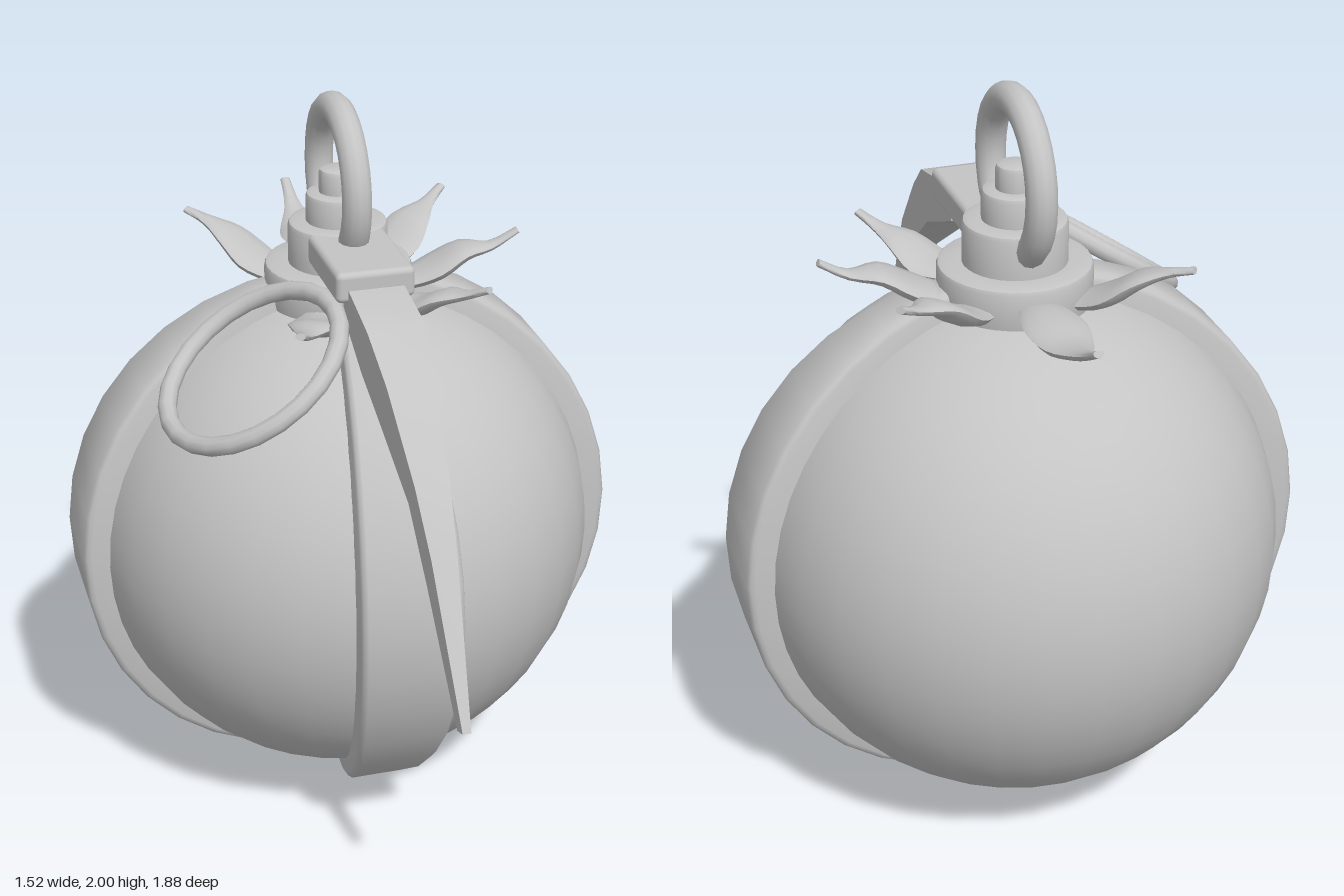
import * as THREE from 'three';
import { toCreasedNormals } from 'three/addons/utils/BufferGeometryUtils.js';
import { RoundedBoxGeometry } from 'three/addons/geometries/RoundedBoxGeometry.js';

const V = (x, y, z) => new THREE.Vector3(x, y, z);
const grey = new THREE.MeshStandardMaterial({ color: 0xc4c4c4 });
grey.name = 'plain grey';

// Closed solid through a row of convex cross-sections with equal point counts
function loft(rings, crease) {
  const n = rings[0].length, last = rings.length - 1;
  const tris = [];
  for (let i = 0; i < last; i++) {
    for (let j = 0; j < n; j++) {
      const k = (j + 1) % n;
      const a = rings[i][j], b = rings[i][k], c = rings[i + 1][k], d = rings[i + 1][j];
      tris.push([a, b, c], [a, c, d]);
    }
  }
  for (let j = 1; j < n - 1; j++) {
    tris.push([rings[0][0], rings[0][j + 1], rings[0][j]]);
    tris.push([rings[last][0], rings[last][j], rings[last][j + 1]]);
  }
  // Make the faces point outwards, whichever way the sections run
  let volume = 0;
  for (const [a, b, c] of tris) volume += a.dot(b.clone().cross(c));
  const pos = [];
  for (const [a, b, c] of tris) {
    for (const p of volume < 0 ? [a, c, b] : [a, b, c]) pos.push(p.x, p.y, p.z);
  }
  const geo = new THREE.BufferGeometry();
  geo.setAttribute('position', new THREE.Float32BufferAttribute(pos, 3));
  return toCreasedNormals(geo, crease);
}

export function createModel() {
  const model = new THREE.Group();
  const CZ = -0.235, CY = 0.762;
  const add = (name, geo, x = 0, y = 0, z = 0) => {
    const mesh = new THREE.Mesh(geo, grey);
    mesh.name = name;
    mesh.position.set(x, y, z);
    model.add(mesh);
    return mesh;
  };

  // Round fruit body
  add('body', new THREE.SphereGeometry(0.703, 32, 24), 0, CY - 0.004, CZ);

  // Raised bands from the collar to just past the bottom pole
  const bandRings = [];
  for (let i = 0; i <= 18; i++) {
    const t = 0.15 + (Math.PI - 0.02) * i / 18;
    const w = 0.03 + 0.11 * Math.abs(Math.sin(t));
    const section = [[-w, 0.64], [-w, 0.738], [-w + 0.004, 0.75], [-w + 0.015, 0.758],
      [w - 0.015, 0.758], [w - 0.004, 0.75], [w, 0.738], [w, 0.64]];
    bandRings.push(section.map(([s, r]) => V(s, r * Math.cos(t), r * Math.sin(t))));
  }
  const bandGeo = loft(bandRings, 0.75);
  [['frontBand', 0], ['leftBand', Math.PI / 2], ['rightBand', -Math.PI / 2]].forEach(([name, turn]) => {
    add(name, bandGeo, 0, CY, CZ).rotation.y = turn;
  });

  // Stepped cap: collar, two drums and a button
  const profile = [[0, 1.4], [0.19, 1.4]];
  [[0.2, 1.54], [0.135, 1.655], [0.086, 1.735], [0.05, 1.8]].forEach(([r, top], i) => {
    profile.push([r, i ? profile.at(-1)[1] : 1.45], [r, top - 0.014], [r - 0.004, top - 0.004], [r - 0.014, top]);
  });
  profile.push([0, 1.8]);
  const capGeo = new THREE.LatheGeometry(profile.map(([r, y]) => new THREE.Vector2(r, y)), 32);
  add('cap', toCreasedNormals(capGeo, 0.7), 0, 0, CZ);

  // Upright ring through the cap
  add('topRing', new THREE.TorusGeometry(0.196, 0.04, 12, 28), 0, 1.764, CZ).rotation.y = Math.PI / 2;

  // Tilted pull ring on the right
  const pull = add('pullRing', new THREE.TorusGeometry(0.258, 0.025, 10, 24), -0.32, 1.408, 0.105);
  pull.quaternion.setFromUnitVectors(V(0, 0, 1), V(-0.54, 0.82, 0.15).normalize());

  // Lever block and tapering blade
  add('leverBlock', new RoundedBoxGeometry(0.21, 0.082, 0.3, 3, 0.016), 0, 1.611, -0.005);
  // Blade sections: upper z, upper y, lower z, lower y, half width
  const blade = [
    [0.08, 1.612, 0.08, 1.52, 0.07], [0.15, 1.605, 0.15, 1.49, 0.074], [0.33, 1.57, 0.28, 1.435, 0.077],
    [0.455, 1.475, 0.41, 1.345, 0.063], [0.64, 1.29, 0.59, 1.22, 0.045],
    [0.745, 1.14, 0.715, 1.05, 0.033], [0.945, 0.768, 0.903, 0.752, 0.011],
  ];
  add('leverBlade', loft(blade.map(([z1, y1, z2, y2, w]) =>
    [V(-w, y1, z1), V(w, y1, z1), V(w, y2, z2), V(-w, y2, z2)]), 0.6));

  // Curling leaves: tip x, tip z and heights from root to tip
  const leaves = [
    [0, -0.83, [1.47, 1.49, 1.49, 1.485, 1.51, 1.56]],
    [0.39, -0.55, [1.46, 1.47, 1.5, 1.55, 1.57, 1.6]],
    [-0.35, -0.56, [1.46, 1.47, 1.5, 1.55, 1.58, 1.6]],
    [0.5, -0.2, [1.46, 1.47, 1.5, 1.54, 1.545, 1.585]],
    [0.31, 0.13, [1.46, 1.46, 1.47, 1.51, 1.53, 1.56]],
    [-0.22, 0.22, [1.46, 1.45, 1.46, 1.49, 1.5, 1.53]],
  ];
  const widths = [0.045, 0.062, 0.08, 0.062, 0.026, 0.014];
  leaves.forEach(([tx, tz, heights], i) => {
    const out = V(tx, 0, tz - CZ), length = out.length();
    out.normalize();
    const side = V(out.z, 0, -out.x);
    const spine = new THREE.CatmullRomCurve3(heights.map((y, k) => {
      const r = 0.12 + (length - 0.12) * k / 5;
      return V(out.x * r, y, CZ + out.z * r);
    }));
    const widthCurve = new THREE.SplineCurve(widths.map((w, k) => new THREE.Vector2(k, w)));
    const rings = [];
    for (let k = 0; k <= 15; k++) {
      const t = k / 15, p = spine.getPoint(t), w = widthCurve.getPoint(t).y;
      const up = V().crossVectors(spine.getTangent(t), side).normalize();
      if (up.y < 0) up.negate();
      const ring = [];
      for (let j = 0; j < 10; j++) {
        const a = j / 10 * Math.PI * 2, s = Math.sin(a);
        ring.push(p.clone().addScaledVector(side, Math.cos(a) * w)
          .addScaledVector(up, s * (s > 0 ? 0.15 * w + 0.006 : 0.3 * w + 0.006)));
      }
      rings.push(ring);
    }
    add('leaf' + (i + 1), loft(rings, 1.1));
  });

  return model;
}
